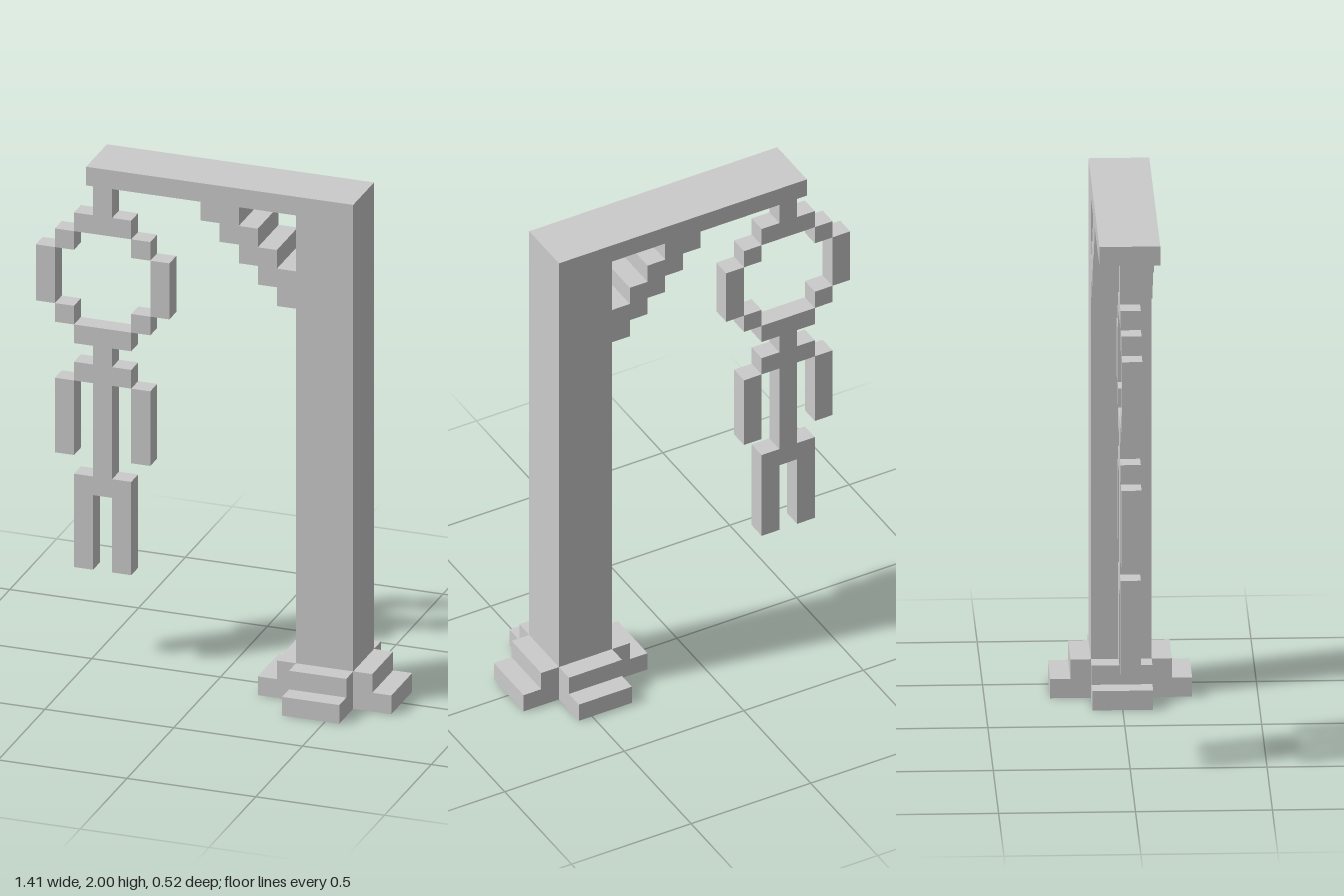
import * as THREE from 'three';

// Everything sits on a block grid: 19 columns wide, 27 rows high
const U = 2 / 27;
const X0 = -9.5;
const material = new THREE.MeshStandardMaterial({ color: 0xcccccc, flatShading: true });

function path(points, Type = THREE.Shape) {
  return new Type(points.map(([x, y]) => new THREE.Vector2(x * U, y * U)));
}

// Extrude a grid outline, centred on z = 0
function slab(name, shape, depth) {
  const geometry = new THREE.ExtrudeGeometry(shape, { depth: depth * U, bevelEnabled: false });
  geometry.translate(0, 0, -depth * U / 2);
  const mesh = new THREE.Mesh(geometry, material);
  mesh.name = name;
  return mesh;
}

// One-block-deep box spanning columns c0..c1 and rows r0..r1
function block(name, c0, c1, r0, r1) {
  const mesh = new THREE.Mesh(new THREE.BoxGeometry((c1 - c0) * U, (r1 - r0) * U, U), material);
  mesh.position.set((X0 + (c0 + c1) / 2) * U, (r0 + r1) / 2 * U, 0);
  mesh.name = name;
  return mesh;
}

export function createModel() {
  const model = new THREE.Group();
  model.name = 'gallows';

  // Post, beam and stepped diagonal brace as one outline with a stepped hole
  const outline = [[17, 0], [17, 27], [3, 27], [3, 26], [9, 26]];
  const hole = [[14, 26], [11, 26]];
  for (let i = 0; i < 5; i++) {
    outline.push([9 + i, 25 - i], [10 + i, 25 - i]);
    if (i < 3) hole.push([11 + i, 25 - i], [12 + i, 25 - i]);
  }
  outline.push([14, 0]);
  const frameShape = path(outline);
  frameShape.holes.push(path(hole, THREE.Path));
  const frame = slab('postBeamAndBrace', frameShape, 3);
  frame.position.x = X0 * U;
  model.add(frame);

  // Four stepped feet around the post
  const base = new THREE.Group();
  base.name = 'base';
  base.position.x = (X0 + 15.5) * U;
  const footShape = path([[1.5, 0], [3.5, 0], [3.5, 1], [2.5, 1], [2.5, 2], [1.5, 2]]);
  for (let i = 0; i < 4; i++) {
    const foot = slab('foot', footShape, 3);
    foot.rotation.y = i * Math.PI / 2;
    base.add(foot);
  }
  model.add(base);

  // Hanging stick figure: central parts
  const figure = new THREE.Group();
  figure.name = 'hangingFigure';
  figure.add(
    block('rope', 3, 4, 24, 26),
    block('headTop', 2, 5, 23, 24),
    block('headBottom', 2, 5, 17, 18),
    block('neck', 3, 4, 16, 17),
    block('shoulders', 2, 5, 15, 16),
    block('torso', 3, 4, 10, 15),
    block('hips', 2, 5, 9, 10)
  );

  // Mirrored parts: [name, column on the right side, first row, last row]
  const pairs = [
    ['headUpperCorner', 1, 22, 23],
    ['headSide', 0, 19, 22],
    ['headLowerCorner', 1, 18, 19],
    ['arm', 1, 11, 15],
    ['leg', 2, 5, 9]
  ];
  for (const [name, column, r0, r1] of pairs) {
    for (const c of [column, 6 - column]) figure.add(block(name, c, c + 1, r0, r1));
  }
  model.add(figure);

  return model;
}
